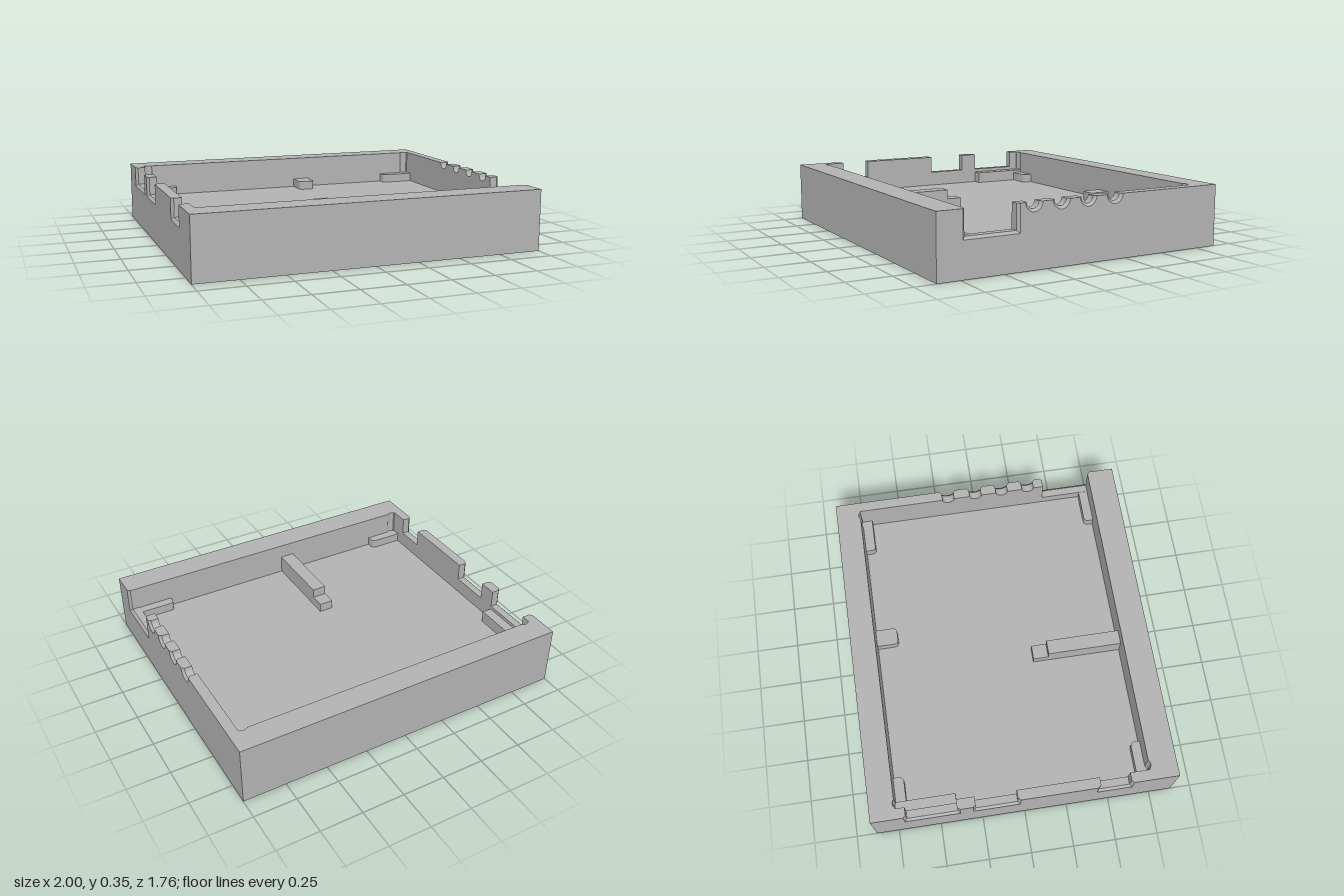
import * as THREE from 'three';
import { toCreasedNormals } from 'three/addons/utils/BufferGeometryUtils.js';

const H = 0.355, FLOOR = 0.16, W = 0.94, D = 0.88;

// Wall openings: each returns its outline, grown by o for the outer chamfer
const rectNotch = (a, b, y) => ({
  at: (a + b) / 2,
  outline: (o) => [[b + o, H], [b + o, y - o], [a - o, y - o], [a - o, H]],
});
const arcNotch = (c, r) => ({
  at: c,
  outline: (o) => Array.from({ length: 17 }, (_, i) => {
    const t = (i / 16) * Math.PI;
    return [c + (r + o) * Math.cos(t), H - (r + o) * Math.sin(t)];
  }),
});

// Side wall with openings that flare at the outside face
function sideWallGeometry(side, notches) {
  const sorted = [...notches].sort((p, q) => q.at - p.at);
  const profile = (o) => [[-D, 0], [D, 0], [D, H], ...sorted.flatMap((n) => n.outline(o)), [-D, H]];
  const inner = profile(0), outer = profile(0.015);
  const key = (x, y) => x.toFixed(4) + ',' + y.toFixed(4);
  const flare = new Map(inner.map((p, i) => [key(p[0], p[1]), outer[i]]));
  const shape = new THREE.Shape(inner.map((p) => new THREE.Vector2(p[0], p[1])));
  const geo = new THREE.ExtrudeGeometry(shape, { depth: 2, steps: 2, bevelEnabled: false });
  const pos = geo.attributes.position;
  const xs = [W, 0.985, 1];
  for (let i = 0; i < pos.count; i++) {
    const layer = Math.round(pos.getZ(i));
    let u = pos.getX(i), v = pos.getY(i);
    if (layer === 2) [u, v] = flare.get(key(u, v));
    pos.setXYZ(i, side * xs[layer], v, -side * u);
  }
  return toCreasedNormals(geo, 0.5);
}

// Extrude a plan outline (x, -z) upward
function planGeometry(shape, height) {
  const geo = new THREE.ExtrudeGeometry(shape, { depth: height, bevelEnabled: false, curveSegments: 6 });
  geo.rotateX(-Math.PI / 2);
  return toCreasedNormals(geo, 0.5);
}

// End wall with round corner reliefs at the given sides
function endWallGeometry(depth, reliefs) {
  const pts = [new THREE.Vector2(-W, depth)];
  for (const s of reliefs) {
    for (let i = 0; i <= 10; i++) {
      const t = Math.PI - 0.73 - (i / 10) * (Math.PI - 1.46);
      pts.push(new THREE.Vector2(s * 0.91 + 0.03 * Math.cos(t), depth - 0.02 + 0.03 * Math.sin(t)));
    }
  }
  pts.push(new THREE.Vector2(W, depth), new THREE.Vector2(W, D), new THREE.Vector2(-W, D));
  return planGeometry(new THREE.Shape(pts), H);
}

// Support pad with rounded corners
function padGeometry(x0, x1, z0, z1, top) {
  const r = 0.025, a = -z1, b = -z0;
  const s = new THREE.Shape();
  s.moveTo(x0 + r, a);
  s.lineTo(x1 - r, a);
  s.absarc(x1 - r, a + r, r, -Math.PI / 2, 0);
  s.lineTo(x1, b - r);
  s.absarc(x1 - r, b - r, r, 0, Math.PI / 2);
  s.lineTo(x0 + r, b);
  s.absarc(x0 + r, b - r, r, Math.PI / 2, Math.PI);
  s.lineTo(x0, a + r);
  s.absarc(x0 + r, a + r, r, Math.PI, Math.PI * 1.5);
  const geo = planGeometry(s, top - FLOOR + 0.02);
  return geo.translate(0, FLOOR - 0.02, 0);
}

export function createModel() {
  const model = new THREE.Group();
  const grey = new THREE.MeshStandardMaterial({ color: 0xb2b2b2 });
  grey.name = 'plain grey';
  const add = (name, geo) => {
    const mesh = new THREE.Mesh(geo, grey);
    mesh.name = name;
    model.add(mesh);
    return mesh;
  };
  const box = (name, x0, x1, y0, y1, z0, z1) =>
    add(name, new THREE.BoxGeometry(x1 - x0, y1 - y0, z1 - z0)
      .translate((x0 + x1) / 2, (y0 + y1) / 2, (z0 + z1) / 2));

  // Tray floor and walls
  box('floor', -W, W, 0, FLOOR, -0.735, 0.72);
  add('backWall', endWallGeometry(0.735, [-1, 1]));
  add('frontWall', endWallGeometry(0.72, [1])).rotation.y = Math.PI;

  // Side walls; outlines run along -z on the +x wall and +z on the -x wall
  add('portWall', sideWallGeometry(1, [
    rectNotch(-0.72, -0.425, 0.215),
    ...[0.328, 0.162, -0.005, -0.177].map((z) => arcNotch(-z, 0.037)),
  ]));
  add('notchedWall', sideWallGeometry(-1, [
    rectNotch(-0.68, -0.39, 0.25),
    rectNotch(-0.285, -0.045, 0.25),
    rectNotch(0.43, 0.605, 0.25),
  ]));

  // Corner pads, with the reliefs filled up to the pad tops
  for (const s of [-1, 1]) {
    const [x0, x1] = s < 0 ? [-0.97, -0.735] : [0.732, 0.97];
    add('backCornerPad', padGeometry(x0, x1, -0.77, -0.675, 0.213));
    add('frontCornerPad', padGeometry(x0, x1, 0.665, 0.76, 0.213));
  }
  for (const [x, z] of [[-0.91, -0.715], [0.91, -0.715], [-0.91, 0.7]]) {
    add('reliefFill', new THREE.CylinderGeometry(0.035, 0.035, 0.202, 16).translate(x, 0.111, z));
  }

  // Inner supports
  add('backPad', padGeometry(0.085, 0.188, -0.79, -0.607, 0.213));
  box('sideLedge', -0.95, -0.88, 0.14, 0.23, -0.74, -0.39);
  box('railStep', -0.14, -0.055, 0.14, 0.215, 0.19, 0.3);
  box('rail', -0.14, -0.055, 0.14, 0.27, 0.28, 0.74);

  return model;
}
